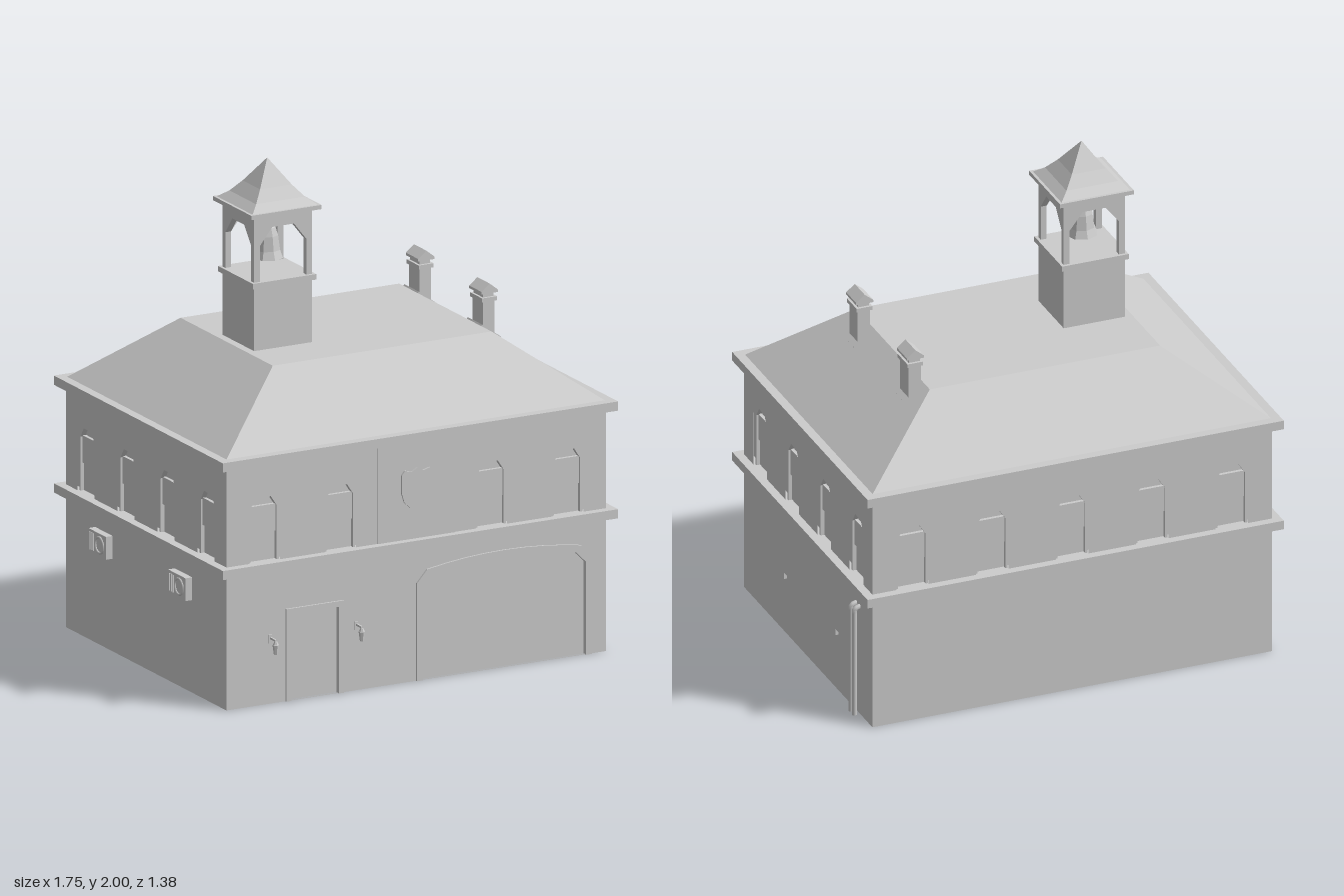
import * as THREE from 'three';

const flat = new THREE.MeshStandardMaterial({ color: 0xcccccc, flatShading: true });
const smooth = new THREE.MeshStandardMaterial({ color: 0xcccccc });

const W = 0.838, D = 0.645, T = 0.03; // half width, half depth, wall thickness

function add(parent, name, geometry, x = 0, y = 0, z = 0, material = flat) {
  const mesh = new THREE.Mesh(geometry, material);
  mesh.name = name;
  mesh.position.set(x, y, z);
  parent.add(mesh);
  return mesh;
}

// Box given by its size and the height of its underside
function block(parent, name, w, h, d, x, y0, z) {
  return add(parent, name, new THREE.BoxGeometry(w, h, d), x, y0 + h / 2, z);
}

// Extruded polygon with optional holes, from z0 to z0 + depth
function plate(parent, name, points, depth, z0, holes = [], x = 0) {
  const toVectors = (list) => list.map(([a, b]) => new THREE.Vector2(a, b));
  const shape = new THREE.Shape(toVectors(points));
  holes.forEach((h) => shape.holes.push(new THREE.Path(toVectors(h))));
  return add(parent, name, new THREE.ExtrudeGeometry(shape, { depth, bevelEnabled: false }), x, 0, z0);
}

const rect = (x0, x1, y0, y1) => [[x0, y0], [x0, y1], [x1, y1], [x1, y0]];
const shift = (points, dx) => points.map(([x, y]) => [x + dx, y]);
const band = (outer, inner) => [...outer, ...[...inner].reverse()];

// Opening with chamfered top corners
const chamfered = (hw, y0, ySide, inset, yTop) =>
  [[-hw, y0], [-hw, ySide], [-hw + inset, yTop], [hw - inset, yTop], [hw, ySide], [hw, y0]];

// Wide opening with chamfered shoulders and a shallow arch
function wideArch(hw, y0, ySide, yShoulder, yTop) {
  const points = [[-hw, y0], [-hw, ySide]];
  const half = hw - 0.045;
  for (let i = -4; i <= 4; i++) {
    const t = i / 4;
    points.push([t * half, yShoulder + (yTop - yShoulder) * (1 - t * t)]);
  }
  return [...points, [hw, ySide], [hw, y0]];
}

// Solid through stacked rectangles [y, halfX, halfZ]
function rectLoft(rings) {
  const corner = ([y, hx, hz], k) => [[-hx, y, hz], [hx, y, hz], [hx, y, -hz], [-hx, y, -hz]][k % 4];
  const v = [];
  const quad = (a, b, c, d) => v.push(...a, ...b, ...c, ...a, ...c, ...d);
  for (let i = 0; i < rings.length - 1; i++) {
    for (let k = 0; k < 4; k++) {
      quad(corner(rings[i], k), corner(rings[i], k + 1), corner(rings[i + 1], k + 1), corner(rings[i + 1], k));
    }
  }
  const top = rings[rings.length - 1], base = rings[0];
  quad(...[0, 1, 2, 3].map((k) => corner(top, k)));
  quad(...[3, 2, 1, 0].map((k) => corner(base, k)));
  const g = new THREE.BufferGeometry();
  g.setAttribute('position', new THREE.Float32BufferAttribute(v, 3));
  g.computeVertexNormals();
  return g;
}

// One side of the building: its outer face is local z = 0
function buildSide(name, half, angle, distance, windows, vents, lowerHoles = []) {
  const side = new THREE.Group();
  side.name = name;
  side.rotation.y = angle;
  side.position.set(Math.sin(angle) * distance, 0, Math.cos(angle) * distance);

  const ventHoles = vents.flatMap((c) => [-0.066, 0.066].map((o) => rect(c + o - 0.053, c + o + 0.053, 0.21, 0.252)));
  plate(side, 'lowerWall', rect(-half, half, 0, 0.56), T, -T, [...lowerHoles, ...ventHoles]);
  ventHoles.forEach((h) => plate(side, 'ventPane', h, 0.018, -T));

  const opening = chamfered(0.068, 0.57, 0.8, 0.032, 0.858);
  plate(side, 'upperWall', rect(-half, half, 0.56, 0.99), T, -T, windows.map((x) => shift(opening, x)));
  windows.forEach((x) => {
    const inner = chamfered(0.058, 0.57, 0.795, 0.026, 0.835);
    plate(side, 'windowFrame', band(opening, inner), 0.022, -T, [], x);
    plate(side, 'upperSash', rect(-0.062, 0.062, 0.69, 0.8), 0.014, -T, [], x);
    plate(side, 'lowerSash', rect(-0.058, 0.058, 0.57, 0.69), 0.006, -T, [], x);
  });
  return side;
}

function buildFrontDetails(front) {
  // Entrance door
  const door = new THREE.Group();
  door.name = 'entrance';
  door.position.x = -0.45;
  plate(door, 'doorFrame', band(rect(-0.127, 0.127, 0, 0.373), rect(-0.104, 0.104, 0, 0.35)), 0.02, -0.012);
  plate(door, 'doorLeaf', rect(-0.104, 0.104, 0, 0.35), 0.014, -T, [rect(-0.06, 0.06, 0.015, 0.26)]);

  // Vehicle door with two rows of four panes
  const garage = new THREE.Group();
  garage.name = 'vehicleDoor';
  garage.position.x = 0.386;
  const inner = wideArch(0.36, 0, 0.375, 0.42, 0.452);
  plate(garage, 'vehicleDoorFrame', band(wideArch(0.386, 0, 0.395, 0.445, 0.475), inner), 0.02, -0.012);
  const panes = [];
  for (let i = 0; i < 4; i++) {
    const x = -0.329 + i * 0.166;
    panes.push(rect(x, x + 0.156, 0.165, 0.213), rect(x, x + 0.156, 0.224, 0.28));
  }
  plate(garage, 'vehicleDoorLeaf', inner, 0.016, -T, panes);

  // Raised centre panel with a plain shield
  plate(front, 'centrePanel', rect(-0.17, 0.17, 0.57, 0.98), 0.004, 0);
  plate(front, 'shield', [[0, 0.865], [-0.025, 0.85], [-0.055, 0.858], [-0.07, 0.84], [-0.07, 0.77], [-0.058, 0.73],
    [-0.03, 0.703], [0, 0.69], [0.03, 0.703], [0.058, 0.73], [0.07, 0.77], [0.07, 0.84], [0.055, 0.858], [0.025, 0.85]], 0.012, 0);

  // Lamps beside the door
  for (const x of [-0.645, -0.265]) {
    const lamp = new THREE.Group();
    lamp.name = 'wallLamp';
    lamp.position.x = x;
    block(lamp, 'lampPlate', 0.016, 0.034, 0.006, 0, 0.245, 0.003);
    block(lamp, 'lampArm', 0.008, 0.008, 0.045, 0, 0.262, 0.024);
    add(lamp, 'lampCap', new THREE.CylinderGeometry(0.006, 0.012, 0.014, 6), 0, 0.255, 0.046);
    add(lamp, 'lampGlass', new THREE.CylinderGeometry(0.013, 0.008, 0.038, 6), 0, 0.23, 0.046);
    front.add(lamp);
  }
  front.add(door, garage);
}

function buildTower() {
  const tower = new THREE.Group();
  tower.name = 'bellTower';
  tower.position.set(-0.323, 0, 0.035);
  block(tower, 'towerBase', 0.256, 0.3, 0.256, 0, 1.23, 0);
  block(tower, 'towerLedge', 0.28, 0.022, 0.28, 0, 1.524, 0);
  // Four arched openings
  const opening = chamfered(0.103, 1.54, 1.69, 0.055, 1.76);
  for (let i = 0; i < 4; i++) {
    const pivot = new THREE.Group();
    pivot.name = 'belfrySide';
    pivot.rotation.y = (i * Math.PI) / 2;
    plate(pivot, 'belfryArch', band(rect(-0.128, 0.128, 1.54, 1.815), opening), 0.025, 0.103);
    tower.add(pivot);
  }
  block(tower, 'towerEave', 0.31, 0.017, 0.31, 0, 1.81, 0);
  add(tower, 'towerRoof', rectLoft([[1.825, 0.146, 0.146], [1.855, 0.108, 0.108], [1.9, 0.07, 0.07], [2, 0.0005, 0.0005]]));
  // Bell
  const profile = [[0, 1.612], [0.052, 1.612], [0.064, 1.6], [0.052, 1.632], [0.044, 1.69], [0.034, 1.722], [0.012, 1.738], [0, 1.74]];
  add(tower, 'bell', new THREE.LatheGeometry(profile.map(([x, y]) => new THREE.Vector2(x, y)), 8));
  add(tower, 'bellHanger', new THREE.CylinderGeometry(0.008, 0.008, 0.085, 6), 0, 1.775, 0);
  return tower;
}

function buildChimney(z) {
  const chimney = new THREE.Group();
  chimney.name = 'chimney';
  chimney.position.set(0.528, 0, z);
  block(chimney, 'stack', 0.052, 0.19, 0.084, 0, 1.18, 0);
  const flashing = block(chimney, 'flashing', 0.104, 0.014, 0.116, 0, 1.231, 0);
  flashing.rotation.z = -Math.atan2(0.26, 0.36);
  block(chimney, 'stackCollar', 0.066, 0.016, 0.098, 0, 1.36, 0);
  block(chimney, 'flue', 0.046, 0.03, 0.076, 0, 1.37, 0);
  plate(chimney, 'chimneyCap', [[-0.036, 1.393], [0.036, 1.393], [0.036, 1.403], [0, 1.432], [-0.036, 1.403]], 0.1, -0.05);
  return chimney;
}

export function createModel() {
  const model = new THREE.Group();
  model.name = 'station';
  const body = new THREE.Group();
  body.name = 'building';
  body.position.z = -0.01;
  model.add(body);

  // Walls around a solid core
  block(body, 'core', 2 * (W - T), 1, 2 * (D - T), 0, 0, 0);
  const sideWindows = [-0.482, -0.16, 0.163, 0.485];
  const frontHoles = [shift(rect(-0.104, 0.104, 0.003, 0.35), -0.45), shift(wideArch(0.36, 0.003, 0.375, 0.42, 0.452), 0.386)];
  const front = buildSide('frontSide', W, 0, D, [-0.67, -0.333, 0.333, 0.67], [], frontHoles);
  buildFrontDetails(front);
  const left = buildSide('leftSide', D - T, Math.PI / 2, W, sideWindows, [-0.256, 0.26]);
  const right = buildSide('rightSide', D - T, -Math.PI / 2, W, sideWindows.map((x) => -x), []);
  const back = buildSide('backSide', W, Math.PI, D, [-0.67, -0.335, 0, 0.335, 0.67], [-0.61, -0.14]);
  body.add(front, left, right, back);

  // Drain pipes bending into the wall
  for (const x of [0.482, 0.517]) {
    const path = new THREE.CurvePath();
    path.add(new THREE.LineCurve3(new THREE.Vector3(x, 0, 0.022), new THREE.Vector3(x, 0.45, 0.022)));
    path.add(new THREE.QuadraticBezierCurve3(new THREE.Vector3(x, 0.45, 0.022), new THREE.Vector3(x, 0.466, 0.022), new THREE.Vector3(x, 0.466, -0.01)));
    add(left, 'drainPipe', new THREE.TubeGeometry(path, 40, 0.011, 8), 0, 0, 0, smooth);
  }

  // Air conditioners
  for (const x of [-0.34, 0.3]) {
    block(right, 'airConditioner', 0.14, 0.092, 0.032, x, 0.374, 0.014);
    add(right, 'fanRing', new THREE.TorusGeometry(0.032, 0.005, 6, 16), x + 0.02, 0.42, 0.031, smooth);
    for (let i = 0; i < 3; i++) block(right, 'grilleBar', 0.006, 0.07, 0.006, x - 0.055 + i * 0.014, 0.385, 0.032);
  }

  // Cornices, roof and rooftop parts
  for (const [name, y] of [['lowerCornice', 0.54], ['upperCornice', 0.975]]) {
    block(body, name, 2 * 0.873, 0.037, 2 * 0.68, 0, y, 0);
  }
  add(body, 'roof', rectLoft([[1.01, 0.838, 0.643], [1.27, 0.483, 0.371]]));
  body.add(buildTower(), buildChimney(0.225), buildChimney(-0.285));
  return model;
}
